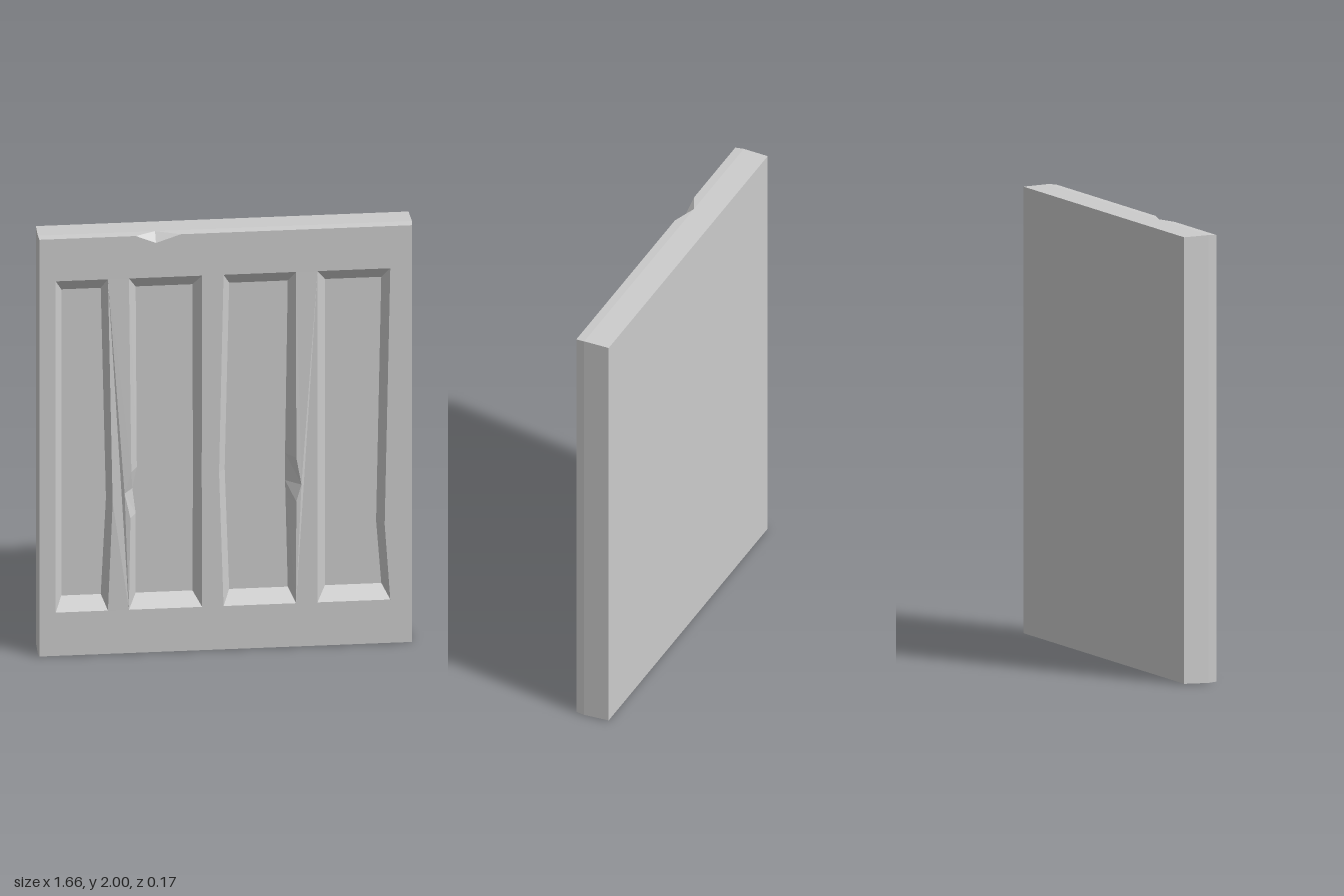
import * as THREE from 'three';

const FRONT = 0.075, BACK = -0.083, FLOOR = 0.025, FOLD = 0.035;
const BOTTOM = 0.21, TOP = 1.795, IN_BOTTOM = 0.27, IN_TOP = 1.735;

// Each recess: left and right outer/inner x at the ends, then side points
// from bottom to top as [y, outer x, inner x]
const PANELS = [
  { ends: [-0.755, -0.725, -0.523, -0.55], left: [], right: [[0.73, -0.503, -0.527]] },
  { ends: [-0.43, -0.395, -0.105, -0.143],
    left: [[0.65, -0.424, -0.395], [0.77, -0.45, -0.41], [0.87, -0.42, -0.39]],
    right: [[0.85, -0.107, -0.141]] },
  { ends: [-0.01, 0.02, 0.312, 0.28], left: [[0.85, -0.03, 0.0]],
    right: [[0.7, 0.312, 0.27], [0.78, 0.335, 0.268], [0.91, 0.312, 0.268]] },
  { ends: [0.407, 0.445, 0.73, 0.695], left: [[0.85, 0.407, 0.445]], right: [[0.57, 0.705, 0.672]] },
];

// Two of the uprights swell forward slightly at mid height
function frontZ(x, y) {
  const onUpright = (x > -0.53 && x < -0.41) || (x > 0.3 && x < 0.42);
  return onUpright && y > 0.3 && y < 1.6 ? FRONT + 0.008 : FRONT;
}

const material = new THREE.MeshStandardMaterial({ color: 0xcccccc, flatShading: true });

function addMesh(group, geometry, name) {
  const flat = geometry.index ? geometry.toNonIndexed() : geometry;
  flat.computeVertexNormals();
  const mesh = new THREE.Mesh(flat, material);
  mesh.name = name;
  group.add(mesh);
}

// Closed band of faces between two matching loops
function band(a, b) {
  const points = [];
  a.forEach((p, i) => {
    const j = (i + 1) % a.length;
    points.push(p, a[j], b[j], p, b[j], b[i]);
  });
  return new THREE.BufferGeometry().setFromPoints(points);
}

// Counter-clockwise outer and inner loops of a recess
function recessLoops({ ends: [lo, li, ro, ri], left, right }) {
  const outer = [[lo, BOTTOM], [ro, BOTTOM], ...right.map(([y, o]) => [o, y]),
    [ro, TOP], [lo, TOP], ...left.map(([y, o]) => [o, y]).reverse()];
  const inner = [[li, IN_BOTTOM], [ri, IN_BOTTOM], ...right.map(([y, , n]) => [n, y]),
    [ri, IN_TOP], [li, IN_TOP], ...left.map(([y, , n]) => [n, y]).reverse()];
  return {
    outer: outer.map(([x, y]) => new THREE.Vector3(x, y, frontZ(x, y))),
    inner: inner.map(([x, y]) => new THREE.Vector3(x, y, FLOOR)),
  };
}

// Slab outline at depth z; the three top points form the chipped edge
function outline(z, half, inset, chip) {
  const top = 2 - inset;
  return [[-half, inset], [half, inset], [half, top], ...chip, [-half, top]]
    .map(([x, y]) => new THREE.Vector3(x, y, z));
}

const flatten = (loop) => loop.map((p) => new THREE.Vector2(p.x, p.y));

export function createModel() {
  const model = new THREE.Group();
  model.name = 'panelledDoor';

  // Slab edges, bulging a little along the middle
  const noChip = (y) => [[-0.31, y], [-0.31, y], [-0.31, y]];
  const front = outline(FRONT, 0.827, 0.003, [[-0.2, 1.997], [-0.31, 1.96], [-0.4, 1.997]]);
  const fold = outline(FOLD, 0.83, 0, noChip(2));
  const back = outline(BACK, 0.827, 0.003, noChip(1.997));
  addMesh(model, band(fold, front), 'frontEdges');
  addMesh(model, band(back, fold), 'backEdges');

  // Plain back
  const backFace = new THREE.PlaneGeometry(1.654, 1.994);
  backFace.rotateY(Math.PI).translate(0, 1, BACK);
  addMesh(model, backFace, 'backFace');

  // Front frame with four openings
  const recesses = PANELS.map(recessLoops);
  const shape = new THREE.Shape(flatten(front));
  recesses.forEach(({ outer }) => shape.holes.push(new THREE.Path(flatten(outer))));
  const frame = new THREE.ShapeGeometry(shape);
  const pos = frame.attributes.position;
  for (let i = 0; i < pos.count; i++) pos.setZ(i, frontZ(pos.getX(i), pos.getY(i)));
  addMesh(model, frame, 'frontFrame');

  // Sloped walls and floor of every recess
  recesses.forEach(({ outer, inner }, i) => {
    const recess = new THREE.Group();
    recess.name = `recess${i + 1}`;
    addMesh(recess, band(outer, inner), 'recessWalls');
    const floor = new THREE.ShapeGeometry(new THREE.Shape(flatten(inner)));
    addMesh(recess, floor.translate(0, 0, FLOOR), 'recessFloor');
    model.add(recess);
  });
  return model;
}
